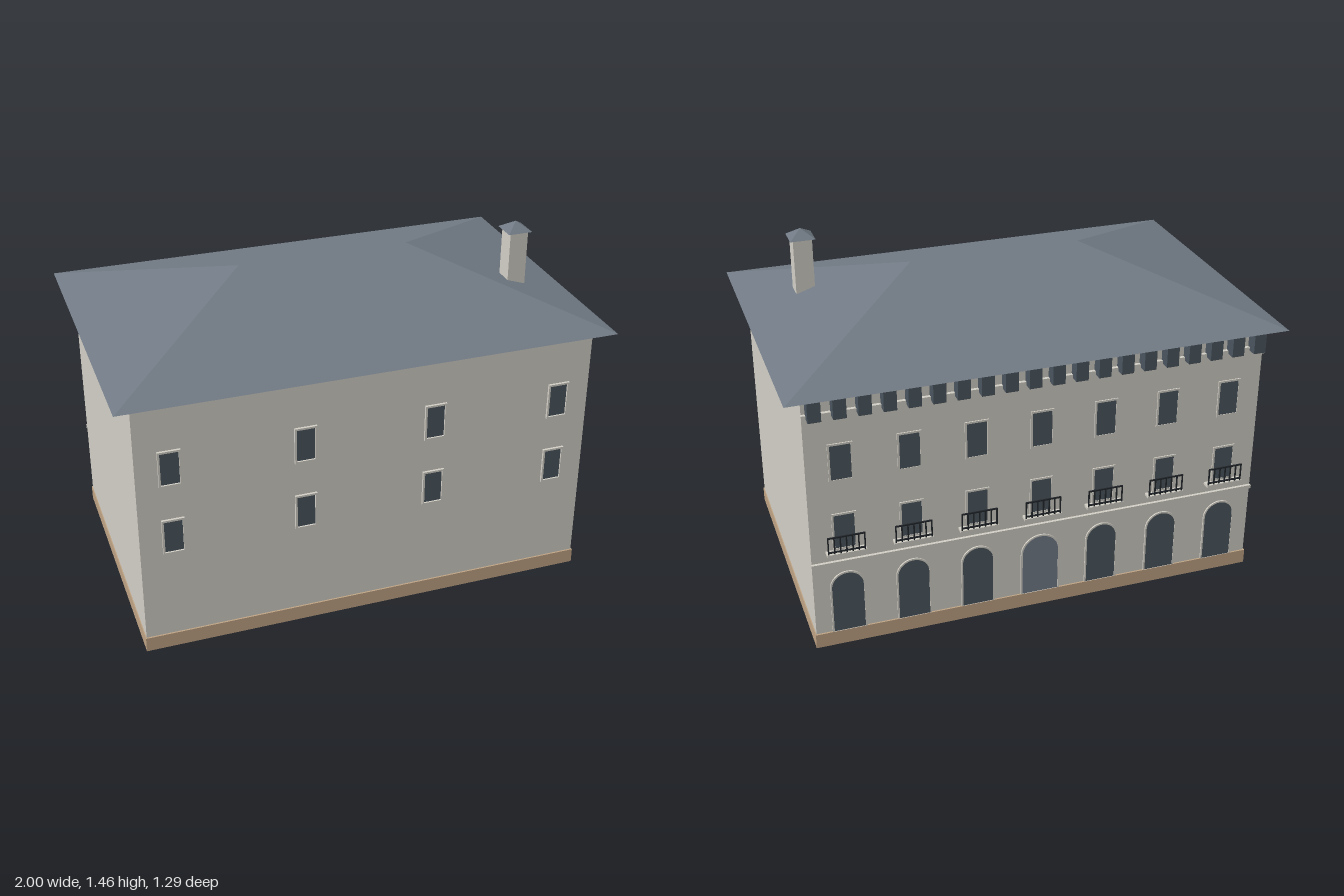
import * as THREE from 'three';

const mat = (name, color) => {
  const m = new THREE.MeshStandardMaterial({ color });
  m.name = name;
  return m;
};

export function createModel() {
  const model = new THREE.Group();
  model.name = 'building';
  const wall = mat('plaster', 0xd0cdc4);
  const slate = mat('roof slate', 0x717a84);
  const stone = mat('plinth stone', 0xbda283);
  const glass = mat('dark glass', 0x4a545d);
  const doorPaint = mat('door paint', 0x727b87);
  const iron = mat('wrought iron', 0x22262a);

  const add = (parent, name, geo, material, x = 0, y = 0, z = 0) => {
    const m = new THREE.Mesh(geo, material);
    m.name = name;
    m.position.set(x, y, z);
    parent.add(m);
    return m;
  };
  // box given by its centre x, bottom and top y, back and front z
  const box = (parent, name, material, w, x, y0, y1, z0, z1) =>
    add(parent, name, new THREE.BoxGeometry(w, y1 - y0, z1 - z0), material, x, (y0 + y1) / 2, (z0 + z1) / 2);

  // body and plinth
  box(model, 'walls', wall, 1.86, 0, 0.03, 1.125, -0.573, 0.573);
  box(model, 'plinth', stone, 1.868, 0, 0, 0.062, -0.58, 0.58);

  // hipped roof: a box whose top collapses to the ridge
  const roofGeo = new THREE.BoxGeometry(2, 0.217, 1.29);
  const p = roofGeo.attributes.position;
  for (let i = 0; i < p.count; i++) {
    if (p.getY(i) > 0) p.setXYZ(i, Math.sign(p.getX(i)) * 0.355, p.getY(i), 0);
  }
  const roofFlat = roofGeo.toNonIndexed();
  roofFlat.computeVertexNormals();
  add(model, 'roof', roofFlat, slate, 0, 1.12 + 0.1085, 0);

  // chimney
  box(model, 'chimney', wall, 0.077, 0.75, 1.12, 1.422, 0.157, 0.234);
  const capGeo = new THREE.ConeGeometry(0.051 * Math.SQRT2, 0.036, 4).toNonIndexed();
  capGeo.rotateY(Math.PI / 4);
  capGeo.computeVertexNormals();
  add(model, 'chimneyCap', capGeo, slate, 0.75, 1.438, 0.195);

  // window: pane with a slim raised frame
  const window_ = (parent, x, y0, w, h, z, depth) => {
    const g = new THREE.Group();
    g.name = 'window';
    g.position.set(x, y0, z);
    parent.add(g);
    const t = 0.008;
    box(g, 'pane', glass, w, 0, 0, h, -0.002, 0.003);
    for (const s of [-1, 1]) box(g, 'frameSide', wall, t, s * (w + t) / 2, -t, h + t, -0.002, depth);
    box(g, 'frameHead', wall, w, 0, h, h + t, -0.002, depth);
    box(g, 'frameSill', wall, w, 0, -t, 0, -0.002, depth);
  };

  // plain front windows
  for (const x of [-0.797, -0.267, 0.267, 0.797])
    for (const y of [0.755, 0.453]) window_(model, x, y, 0.074, 0.138, 0.573, 0.01);

  // decorated rear facade, built facing +z and turned round
  const facade = new THREE.Group();
  facade.name = 'rearFacade';
  facade.rotation.y = Math.PI;
  model.add(facade);
  const Z = 0.573;

  const archShape = (w, y0, top) => {
    const s = new THREE.Shape();
    const r = w / 2;
    s.moveTo(-r, y0);
    s.lineTo(r, y0);
    s.lineTo(r, top - r);
    s.absarc(0, top - r, r, 0, Math.PI, false);
    return s;
  };
  const extrude = (shape, depth) =>
    new THREE.ExtrudeGeometry(shape, { depth, bevelEnabled: false, curveSegments: 12 });

  for (let i = -3; i <= 3; i++) {
    const x = i * 0.265;
    const w = i === 0 ? 0.152 : 0.126;

    // arched opening and its surround
    const filling = i === 0 ? doorPaint : glass;
    add(facade, i === 0 ? 'door' : 'archedWindow', extrude(archShape(w, 0.062, 0.328), 0.004), filling, x, 0, Z);
    const rim = archShape(w + 0.014, 0.062, 0.335);
    rim.holes.push(archShape(w, 0.0621, 0.328));
    add(facade, 'archSurround', extrude(rim, 0.006), wall, x, 0, Z);

    window_(facade, x, 0.75, 0.08, 0.145, Z, 0.005);
    window_(facade, x, 0.448, 0.08, 0.145, Z, 0.005);

    // small balcony
    const balcony = new THREE.Group();
    balcony.name = 'balcony';
    balcony.position.x = x;
    facade.add(balcony);
    box(balcony, 'slab', wall, 0.156, 0, 0.43, 0.44, Z, 0.606);
    for (const y of [0.446, 0.51]) box(balcony, 'rail', iron, 0.148, 0, y, y + 0.006, 0.599, 0.604);
    for (let k = 0; k < 7; k++)
      box(balcony, 'baluster', iron, 0.005, -0.0715 + k * 0.02383, 0.44, 0.513, 0.599, 0.604);
  }

  // string course and cornice band
  box(facade, 'stringCourse', wall, 1.864, 0, 0.376, 0.391, Z, 0.585);
  box(facade, 'corniceBand', wall, 1.864, 0, 1.005, 1.042, Z, 0.587);

  // eave brackets
  const count = 20;
  for (let i = 0; i < count; i++) {
    const x = -0.89 + (i * 1.78) / (count - 1);
    box(facade, 'eaveBracket', glass, 0.05, x, 1.028, 1.12, Z, 0.623);
  }
  return model;
}
